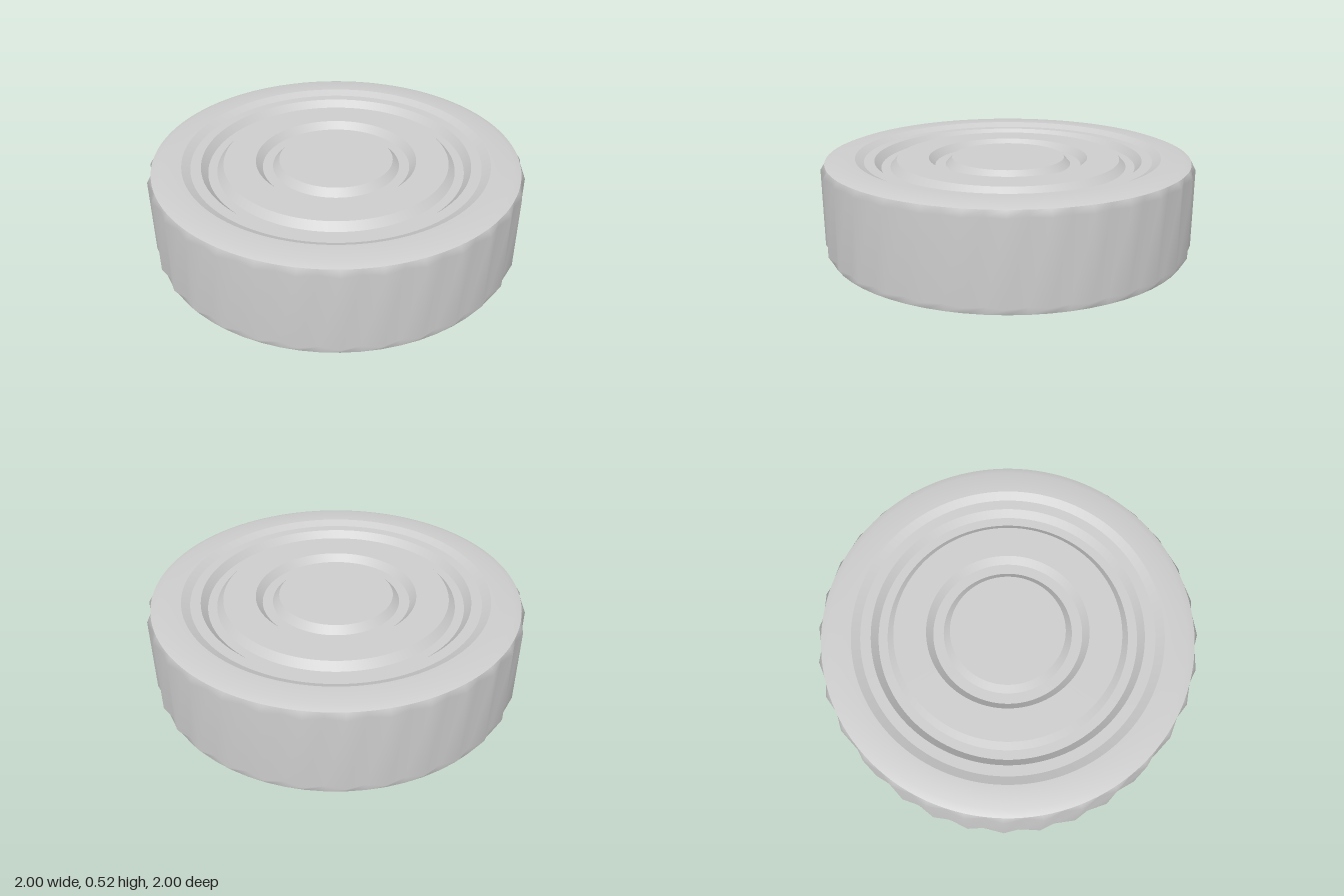
import * as THREE from 'three';
import { mergeVertices, toCreasedNormals } from 'three/addons/utils/BufferGeometryUtils.js';

const HEIGHT = 0.52;
const RIBS = 32;
const SEGMENTS = RIBS * 2;

// Ribbed outer wall: every second column swells into a rib that fades out at both rims
function wallGeometry() {
  const levels = [0.015, 0.05, 0.47, 0.505];
  const geo = new THREE.CylinderGeometry(1, 1, 1, SEGMENTS, levels.length - 1, true);
  const pos = geo.attributes.position;
  for (let i = 0; i < pos.count; i++) {
    const column = i % (SEGMENTS + 1);
    const row = levels.length - 1 - Math.floor(i / (SEGMENTS + 1));
    const ribbed = column % 2 === 0 && row > 0 && row < levels.length - 1;
    const r = ribbed ? 1 : 0.978;
    const a = (column % SEGMENTS) / SEGMENTS * Math.PI * 2;
    pos.setXYZ(i, r * Math.sin(a), levels[row], r * Math.cos(a));
  }
  geo.deleteAttribute('uv');
  geo.deleteAttribute('normal');
  const welded = mergeVertices(geo);
  welded.computeVertexNormals();
  return welded;
}

// Stepped face from the rim to the centre: [radius, depth below the rim]
function faceGeometry() {
  const profile = [
    [0.978, 0.015], [0.94, 0.001], [0.82, 0],   // rounded rim
    [0.775, 0.022], [0.72, 0.022],              // step
    [0.685, 0.06], [0.637, 0.06],               // outer groove
    [0.602, 0.022], [0.43, 0.022],              // hub plateau
    [0.395, 0.06], [0.34, 0.06],                // inner groove
    [0.305, 0.022], [0, 0.022],                 // centre disc
  ];
  const points = profile.map(([r, d]) => new THREE.Vector2(r, HEIGHT / 2 - d));
  return toCreasedNormals(new THREE.LatheGeometry(points, SEGMENTS * 2), 0.4);
}

export function createModel() {
  const grey = new THREE.MeshStandardMaterial({ color: 0xcccccc });
  grey.name = 'light grey';
  const model = new THREE.Group();
  model.name = 'ribbedWheel';

  const wall = new THREE.Mesh(wallGeometry(), grey);
  wall.name = 'ribbedWall';
  model.add(wall);

  // The same grooved face above and below
  const geo = faceGeometry();
  for (const [name, turn] of [['topFace', 0], ['bottomFace', Math.PI]]) {
    const face = new THREE.Mesh(geo, grey);
    face.name = name;
    face.position.y = HEIGHT / 2;
    face.rotation.x = turn;
    model.add(face);
  }
  return model;
}
